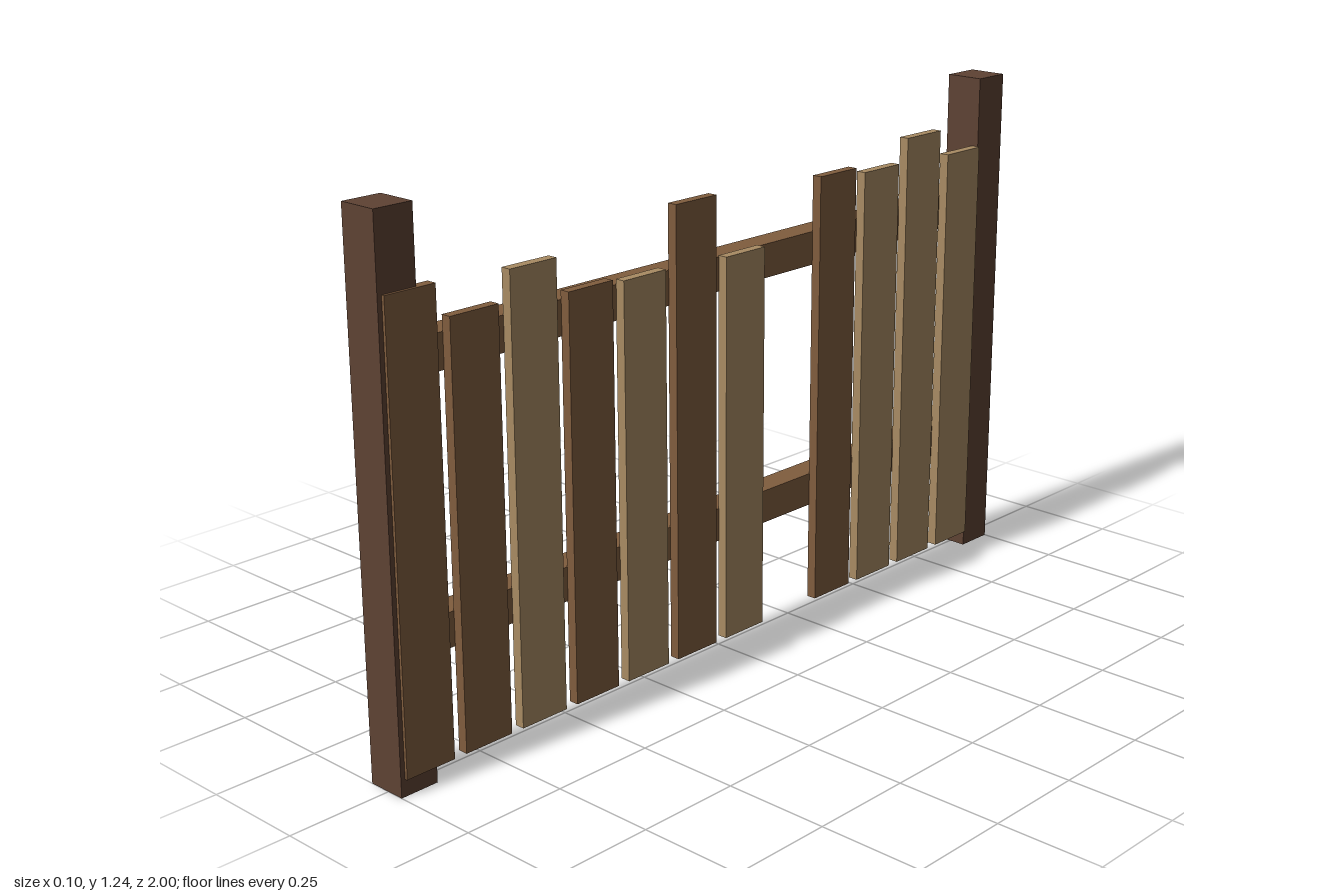
import * as THREE from 'three';

export function createModel() {
  const fence = new THREE.Group();
  fence.name = 'fence';

  const postWood = new THREE.MeshStandardMaterial({ name: 'dark post wood', color: 0x5e4233 });
  const brownWood = new THREE.MeshStandardMaterial({ name: 'brown wood', color: 0x805d3e });
  const tanWood = new THREE.MeshStandardMaterial({ name: 'tan wood', color: 0xa88b63 });

  // Box given by its low and high corners
  function addBox(name, material, [x0, y0, z0], [x1, y1, z1]) {
    const geometry = new THREE.BoxGeometry(x1 - x0, y1 - y0, z1 - z0);
    const mesh = new THREE.Mesh(geometry, material);
    mesh.position.set((x0 + x1) / 2, (y0 + y1) / 2, (z0 + z1) / 2);
    mesh.name = name;
    fence.add(mesh);
  }

  // End posts
  addBox('frontPost', postWood, [-0.053, 0, 0.904], [0.043, 1.24, 1]);
  addBox('backPost', postWood, [-0.053, 0, -1], [0.043, 1.24, -0.904]);

  // Two rails let into the posts
  addBox('lowerRail', brownWood, [-0.037, 0.28, -0.99], [0.027, 0.36, 0.99]);
  addBox('upperRail', brownWood, [-0.037, 0.88, -0.99], [0.027, 0.96, 0.99]);

  // Uneven pickets from front to back; null is the missing one
  const pickets = [
    [1.07, brownWood], [0.995, brownWood], [1.06, tanWood], [0.98, brownWood],
    [0.972, tanWood], [1.11, brownWood], [0.963, tanWood], null,
    [1.093, brownWood], [1.077, tanWood], [1.135, tanWood], [1.07, tanWood],
  ];
  pickets.forEach((picket, i) => {
    if (!picket) return;
    const [top, wood] = picket;
    const z = 0.925 - i * 0.1602;
    addBox(`picket${i + 1}`, wood, [0.026, 0.04, z - 0.064], [0.05, top, z + 0.064]);
  });

  return fence;
}
